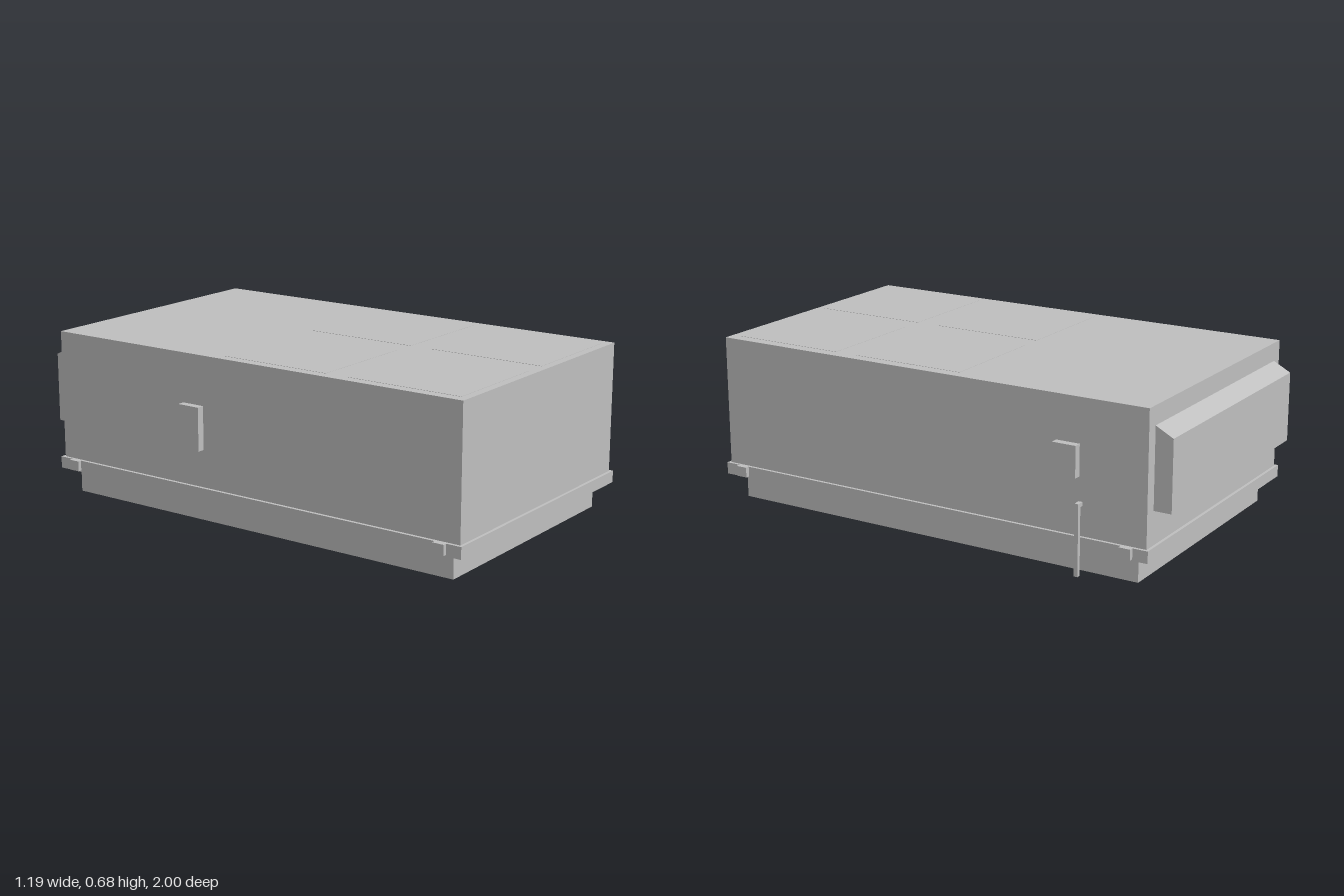
import * as THREE from 'three';

export function createModel() {
  const model = new THREE.Group();
  model.name = 'rooftopUnit';
  const metal = new THREE.MeshStandardMaterial({ color: 0xbfbfbf, side: THREE.DoubleSide });
  metal.name = 'grey metal';

  function add(name, geometry, parent = model) {
    const mesh = new THREE.Mesh(geometry, metal);
    mesh.name = name;
    parent.add(mesh);
    return mesh;
  }
  // Box given by its limits on each axis
  function box(name, x0, x1, y0, y1, z0, z1, parent) {
    const mesh = add(name, new THREE.BoxGeometry(x1 - x0, y1 - y0, z1 - z0), parent);
    mesh.position.set((x0 + x1) / 2, (y0 + y1) / 2, (z0 + z1) / 2);
    return mesh;
  }

  // Cabinet and the flange below it
  box('cabinet', -0.567, 0.561, 0.15, 0.678, -0.928, 0.988);
  box('baseFlange', -0.58, 0.573, 0.102, 0.15, -0.94, 1);

  // Curb: four sheet walls, open below
  const curb = new THREE.Group();
  curb.name = 'curb';
  model.add(curb);
  const [cx0, cx1, cz0, cz1, ch] = [-0.529, 0.523, -0.878, 0.938, 0.102];
  for (const [z, turn] of [[cz1, 0], [cz0, Math.PI]]) {
    const wall = add('curbEndWall', new THREE.PlaneGeometry(cx1 - cx0, ch), curb);
    wall.position.set((cx0 + cx1) / 2, ch / 2, z);
    wall.rotation.y = turn;
  }
  for (const [x, turn] of [[cx1, Math.PI / 2], [cx0, -Math.PI / 2]]) {
    const wall = add('curbSideWall', new THREE.PlaneGeometry(cz1 - cz0, ch), curb);
    wall.position.set(x, ch / 2, (cz0 + cz1) / 2);
    wall.rotation.y = turn;
  }

  // Four flush roof panels
  for (const [x0, x1] of [[-0.525, -0.05], [0.04, 0.515]]) {
    for (const [z0, z1] of [[0.47, 0.955], [-0.105, 0.37]]) {
      box('roofPanel', x0, x1, 0.677, 0.679, z0, z1);
    }
  }

  // Rear hood with a sloped top, extruded across the width
  const profile = new THREE.Shape([
    new THREE.Vector2(0.928, 0.283),
    new THREE.Vector2(1, 0.283),
    new THREE.Vector2(1, 0.565),
    new THREE.Vector2(0.928, 0.603),
  ]);
  const hoodGeometry = new THREE.ExtrudeGeometry(profile, { depth: 1.03, bevelEnabled: false });
  hoodGeometry.rotateY(Math.PI / 2);
  const hood = add('rearHood', hoodGeometry);
  hood.position.x = -0.518;
  // Profile x runs towards the back after the quarter turn

  // Lifting lugs at the four corners
  for (const [x0, x1] of [[-0.596, -0.578], [0.571, 0.59]]) {
    for (const [z0, z1] of [[0.888, 0.937], [-0.878, -0.83]]) {
      box('liftingLug', x0, x1, 0.108, 0.15, z0, z1);
    }
  }

  // Control boxes on the sides
  box('rightControlBox', 0.561, 0.592, 0.378, 0.502, -0.65, -0.552);
  box('leftControlBox', -0.598, -0.567, 0.302, 0.478, -0.282, -0.184);

  // Drain pipe: a short arm and a drop to the ground
  box('drainArm', 0.561, 0.576, 0.267, 0.283, -0.664, -0.648);
  box('drainPipe', 0.576, 0.592, 0, 0.283, -0.664, -0.648);

  return model;
}
